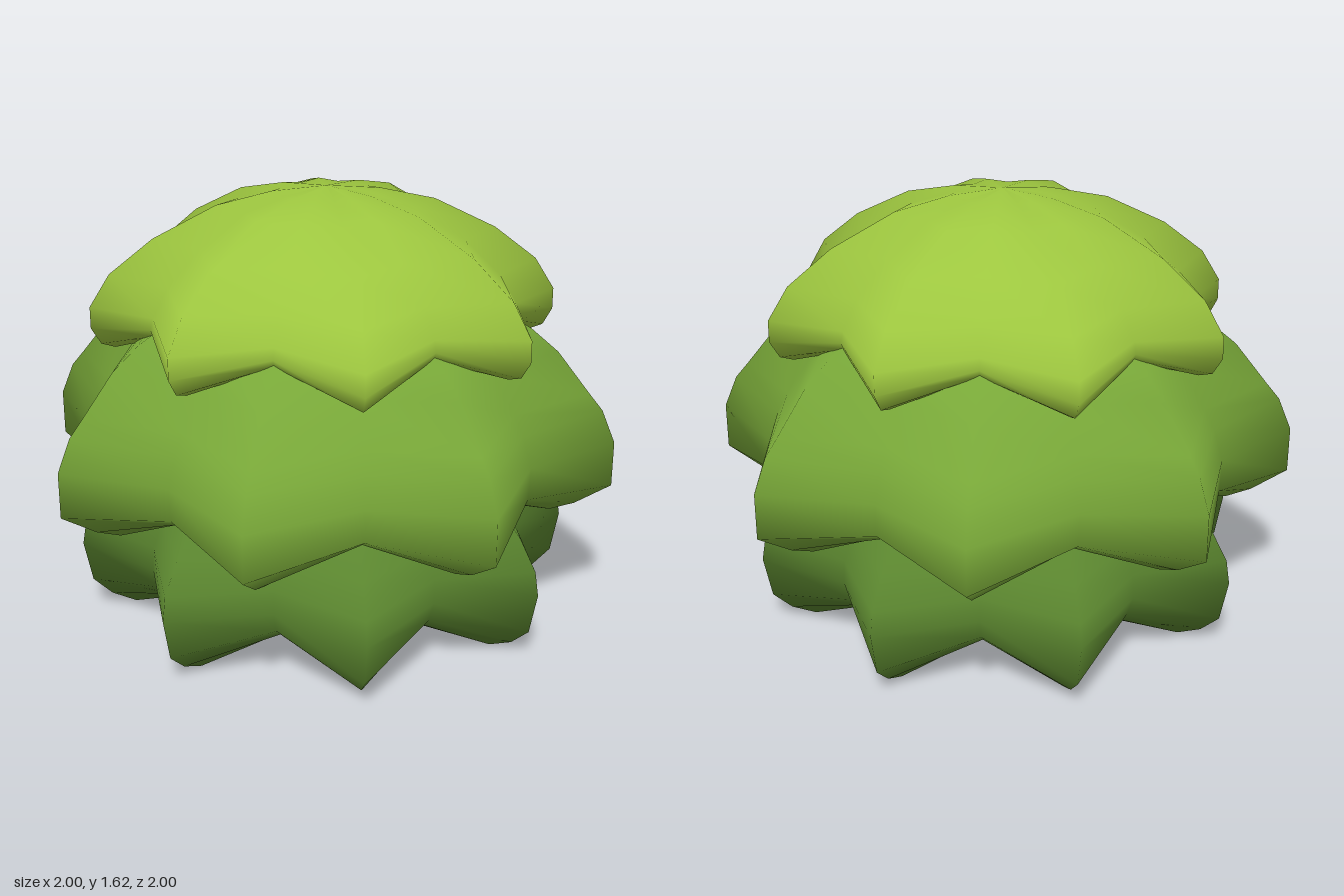
import * as THREE from 'three';

const LOBES = 8;

// Star-shaped shell: each row is [ridge radius, ridge y, valley radius, valley y], from top to bottom
function starShell(rows, turn) {
  const n = LOBES * 2, pos = [], index = [];
  for (const [ridgeR, ridgeY, valleyR, valleyY] of rows) {
    for (let j = 0; j < n; j++) {
      const a = turn + (j / n) * Math.PI * 2;
      const r = j % 2 ? valleyR : ridgeR;
      pos.push(r * Math.sin(a), j % 2 ? valleyY : ridgeY, r * Math.cos(a));
    }
  }
  for (let i = 0; i < rows.length - 1; i++) {
    for (let j = 0; j < n; j++) {
      const k = (j + 1) % n;
      const a = i * n + j, b = a + n, c = (i + 1) * n + k, d = i * n + k;
      index.push(a, b, c);
      if (rows[i][0] > 0.001) index.push(a, c, d);
    }
  }
  const geo = new THREE.BufferGeometry();
  geo.setAttribute('position', new THREE.Float32BufferAttribute(pos, 3));
  geo.setIndex(index);
  geo.computeVertexNormals();
  return geo;
}

// One leaf tier: smooth outer dome plus a separate underside, so the rim stays sharp
function leafTier(name, color, turn, outer, inner) {
  const tier = new THREE.Group();
  tier.name = name;
  const material = new THREE.MeshStandardMaterial({ color });
  const dome = new THREE.Mesh(starShell(outer, turn), material);
  dome.name = name + 'Dome';
  const under = new THREE.Mesh(starShell([outer[outer.length - 1], inner], turn), material);
  under.name = name + 'Underside';
  tier.add(dome, under);
  return tier;
}

export function createModel() {
  const model = new THREE.Group();
  model.name = 'layeredBush';

  // Top tier, ridges on the axes
  model.add(leafTier('topLeaves', 0x9dc63f, 0, [
    [0, 1.62, 0, 1.62],
    [0.2, 1.605, 0.17, 1.6],
    [0.4, 1.56, 0.33, 1.555],
    [0.63, 1.445, 0.51, 1.45],
    [0.79, 1.32, 0.64, 1.33],
    [0.865, 1.2, 0.7, 1.23],
    [0.865, 1.12, 0.71, 1.19],
    [0.83, 1.06, 0.7, 1.165],
    [0.78, 1.045, 0.67, 1.155],
  ], [0.45, 1.2, 0.45, 1.2]));

  // Middle tier, turned half a lobe
  model.add(leafTier('middleLeaves', 0x78a738, Math.PI / LOBES, [
    [0, 1.36, 0, 1.36],
    [0.45, 1.31, 0.38, 1.3],
    [0.76, 1.14, 0.64, 1.14],
    [0.86, 1.06, 0.715, 1.06],
    [0.98, 0.91, 0.81, 0.92],
    [1.03, 0.85, 0.85, 0.85],
    [1.08, 0.73, 0.885, 0.74],
    [1.08, 0.56, 0.88, 0.62],
    [0.95, 0.475, 0.83, 0.59],
    [0.86, 0.44, 0.78, 0.58],
  ], [0.55, 0.62, 0.55, 0.62]));

  // Bottom tier, ridges on the axes
  model.add(leafTier('bottomLeaves', 0x5b862f, 0, [
    [0, 0.8, 0, 0.8],
    [0.5, 0.73, 0.41, 0.73],
    [0.74, 0.59, 0.6, 0.58],
    [0.86, 0.46, 0.69, 0.46],
    [0.925, 0.35, 0.735, 0.36],
    [0.94, 0.26, 0.74, 0.27],
    [0.91, 0.105, 0.71, 0.19],
    [0.84, 0.04, 0.66, 0.15],
    [0.75, 0, 0.6, 0.13],
  ], [0.56, 0.13, 0.56, 0.13]));

  // Flat base closing the bottom
  const base = new THREE.Mesh(
    new THREE.CircleGeometry(0.57, 24).rotateX(Math.PI / 2),
    new THREE.MeshStandardMaterial({ color: 0xcccccc })
  );
  base.name = 'base';
  base.position.y = 0.125;
  model.add(base);

  return model;
}
